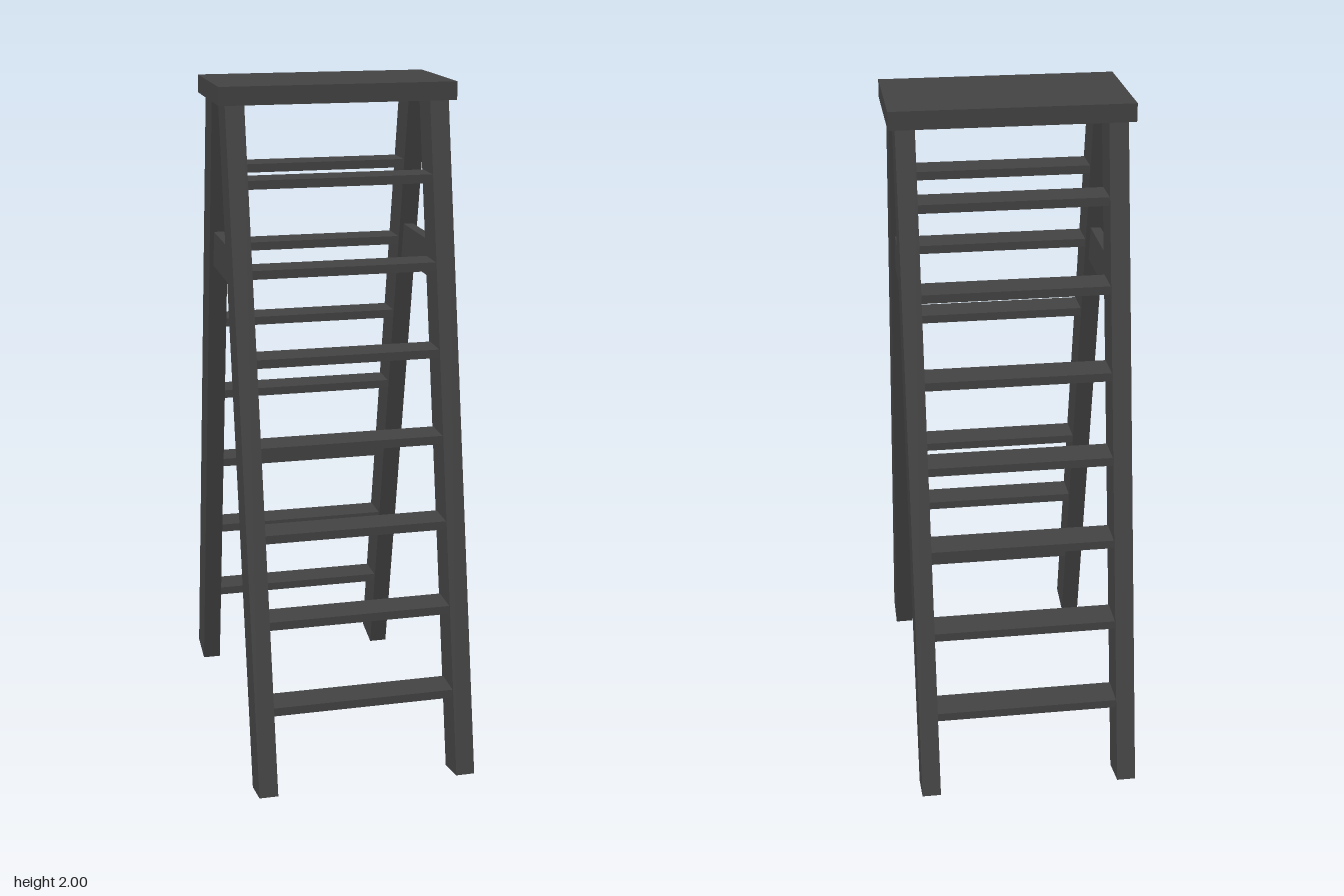
import * as THREE from 'three';

// Double-sided A-frame step ladder
export function createModel() {
  const group = new THREE.Group();
  const material = new THREE.MeshStandardMaterial({ color: 0x444444, flatShading: true });

  const box = (name, w, h, d, x, y, z) => {
    const mesh = new THREE.Mesh(new THREE.BoxGeometry(w, h, d), material);
    mesh.name = name;
    mesh.position.set(x, y, z);
    group.add(mesh);
    return mesh;
  };

  const slope = 0.205;              // how far a leg leans in per unit of height
  const tilt = Math.atan(slope);
  const footY = 0.011, headY = 1.97, footZ = 0.506;
  const legX = 0.295;
  const legZ = (y) => footZ - slope * (y - footY);

  // Top platform
  box('topPlatform', 0.684, 0.052, 0.362, 0, 1.974, 0);

  for (const [face, s] of [['front', 1], ['back', -1]]) {
    // Leaning legs
    for (const [side, m] of [['Left', 1], ['Right', -1]]) {
      const midY = (footY + headY) / 2;
      const length = (headY - footY) / Math.cos(tilt);
      const leg = box(face + side + 'Leg', 0.055, length, 0.108, m * legX, midY, s * legZ(midY));
      leg.rotation.x = -s * tilt;
    }
    // Level treads between the legs
    for (let i = 0; i < 7; i++) {
      const y = 0.26 + 0.245 * i;
      box(face + 'Step' + (i + 1), 0.55, 0.025, 0.095, 0, y, s * legZ(y));
    }
  }

  // Side braces joining front and back legs
  for (const [side, m] of [['left', 1], ['right', -1]]) {
    box(side + 'Brace', 0.03, 0.107, 0.36, m * legX, 1.485, 0);
  }

  return group;
}
